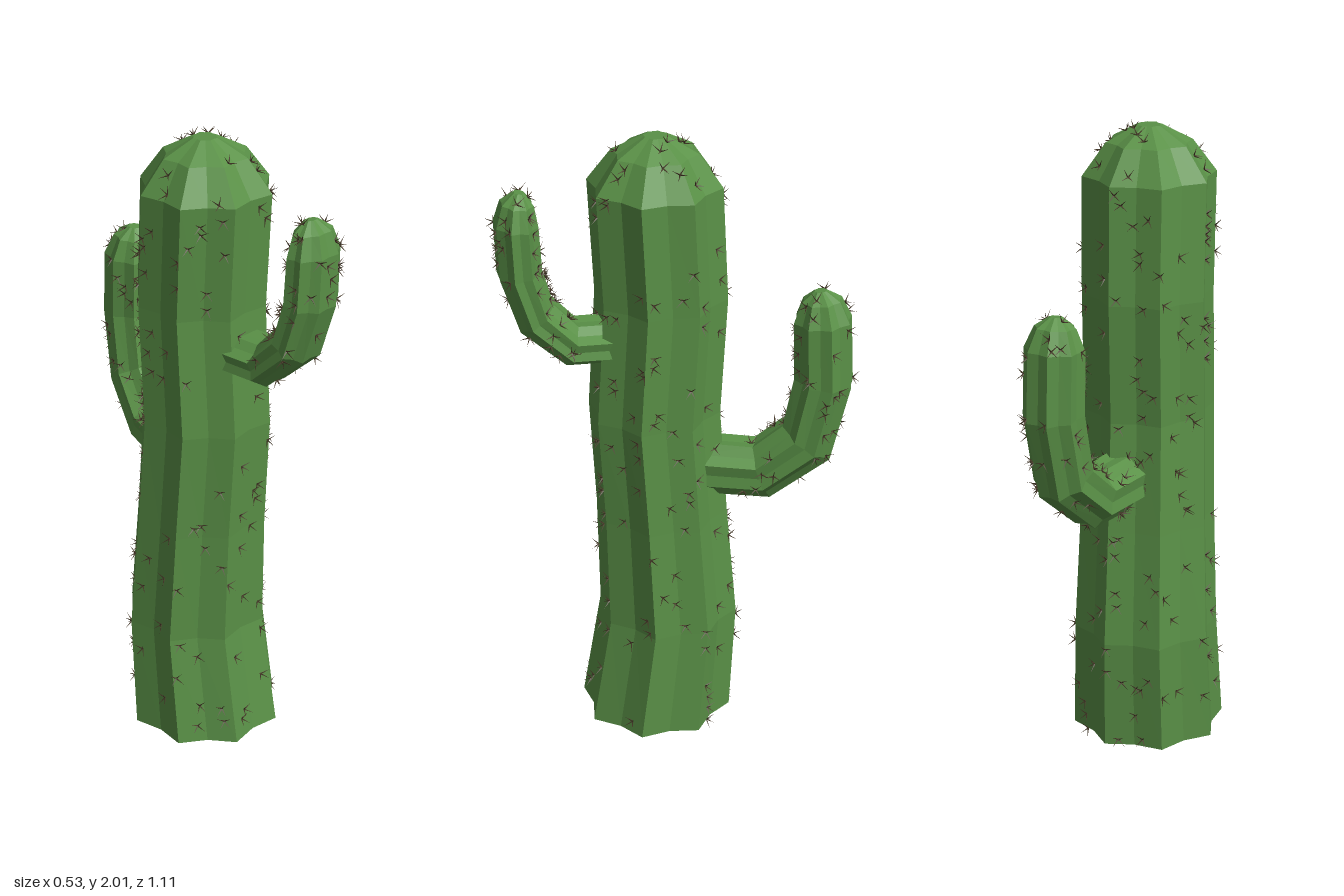
import * as THREE from 'three';
import { mergeGeometries } from 'three/addons/utils/BufferGeometryUtils.js';

const SIDES = 16; // eight ribs and eight grooves
const GROOVE = 0.86;
const COS = Math.cos(Math.PI / 8);

let seed = 7;
function random() {
  seed = (seed * 16807) % 2147483647;
  return seed / 2147483647;
}

// Each station: [reach, height, tilt in degrees, half depth, half width].
// The path runs in the vertical plane through `origin` along `heading`.
function makeRings(origin, heading, stations) {
  const up = new THREE.Vector3(0, 1, 0);
  const d = heading.clone().normalize();
  return stations.map(([reach, height, tilt, depth, width]) => {
    const a = THREE.MathUtils.degToRad(tilt);
    const c = origin.clone().addScaledVector(d, reach).addScaledVector(up, height);
    const t = d.clone().multiplyScalar(Math.cos(a)).addScaledVector(up, Math.sin(a));
    const n = d.clone().multiplyScalar(Math.sin(a)).addScaledVector(up, -Math.cos(a));
    const side = t.clone().cross(n);
    const ring = [];
    for (let j = 0; j < SIDES; j++) {
      const ang = (j / SIDES) * Math.PI * 2;
      const k = (j % 2 ? 1 : GROOVE) / COS;
      ring.push(c.clone()
        .addScaledVector(side, Math.cos(ang) * width * k)
        .addScaledVector(n, Math.sin(ang) * depth * k));
    }
    return { c, ring };
  });
}

// Skin the ribbed cross-sections and close both ends
function skin(rings) {
  const pos = [];
  const tri = (...pts) => pts.forEach((p) => pos.push(p.x, p.y, p.z));
  const last = rings[rings.length - 1];
  for (let j = 0; j < SIDES; j++) {
    const j2 = (j + 1) % SIDES;
    for (let i = 0; i < rings.length - 1; i++) {
      const a = rings[i].ring, b = rings[i + 1].ring;
      tri(a[j], b[j], b[j2]);
      tri(a[j], b[j2], a[j2]);
    }
    tri(rings[0].c, rings[0].ring[j], rings[0].ring[j2]);
    tri(last.c, last.ring[j2], last.ring[j]);
  }
  const g = new THREE.BufferGeometry();
  g.setAttribute('position', new THREE.Float32BufferAttribute(pos, 3));
  g.computeVertexNormals();
  return g;
}

// Clusters of four splayed spines scattered evenly over the skin
function scatterSpines(rings, count, first = 0) {
  const spine = new THREE.ConeGeometry(0.0028, 0.032, 3, 1, true).translate(0, 0.016, 0);
  const up = new THREE.Vector3(0, 1, 0);
  const lengths = [];
  let total = 0;
  for (let i = first; i < rings.length - 1; i++) {
    const l = rings[i].c.distanceTo(rings[i + 1].c);
    lengths.push(l);
    total += l;
  }
  const parts = [];
  for (let n = 0; n < count; n++) {
    let s = ((n + random()) / count) * total, i = 0;
    while (i < lengths.length - 1 && s > lengths[i]) s -= lengths[i++];
    const t = s / lengths[i];
    const j = Math.floor(random() * SIDES), j2 = (j + 1) % SIDES;
    const a = rings[first + i].ring, b = rings[first + i + 1].ring;
    const lo = a[j].clone().lerp(b[j], t), hi = a[j2].clone().lerp(b[j2], t);
    const p = lo.clone().lerp(hi, random());
    const along = b[j].clone().sub(a[j]);
    const normal = along.clone().cross(hi.clone().sub(lo)).normalize();
    const u = along.normalize(), v = normal.clone().cross(u);
    for (let k = 0; k < 4; k++) {
      const ang = Math.PI / 4 + (k * Math.PI) / 2 + (random() - 0.5) * 0.5;
      const dir = normal.clone().multiplyScalar(0.75)
        .addScaledVector(u, Math.cos(ang))
        .addScaledVector(v, Math.sin(ang)).normalize();
      const q = new THREE.Quaternion().setFromUnitVectors(up, dir);
      parts.push(spine.clone().applyQuaternion(q).translate(p.x, p.y, p.z));
    }
  }
  return mergeGeometries(parts);
}

export function createModel() {
  seed = 7;
  const model = new THREE.Group();
  model.name = 'cactus';
  const green = new THREE.MeshStandardMaterial({ color: 0x5a9147, flatShading: true });
  const brown = new THREE.MeshStandardMaterial({ color: 0x4a3d2b, flatShading: true, side: THREE.DoubleSide });

  function addLimb(name, origin, heading, stations, spines, first) {
    const rings = makeRings(origin, heading, stations);
    const limb = new THREE.Group();
    limb.name = name;
    const body = new THREE.Mesh(skin(rings), green);
    body.name = name + 'Body';
    const needles = new THREE.Mesh(scatterSpines(rings, spines, first), brown);
    needles.name = name + 'Spines';
    limb.add(body, needles);
    model.add(limb);
  }

  // Gently swaying trunk with a domed top
  addLimb('trunk', new THREE.Vector3(-0.02, 0, 0), new THREE.Vector3(0, 0, 1), [
    [0.05, 0.01, 90, 0.225, 0.225],
    [0.01, 0.37, 90, 0.205, 0.212],
    [0.03, 0.74, 90, 0.193, 0.198],
    [0.052, 1.09, 90, 0.191, 0.189],
    [0.03, 1.47, 90, 0.19, 0.188],
    [0.048, 1.83, 90, 0.19, 0.19],
    [0.046, 1.93, 90, 0.122, 0.122],
    [0.045, 1.98, 90, 0.035, 0.035],
  ], 190);

  // Upper arm reaching forward, flattened front to back
  addLimb('frontArm', new THREE.Vector3(-0.018, 0, 0), new THREE.Vector3(0, 0, 1), [
    [0.12, 1.34, 0, 0.063, 0.097],
    [0.31, 1.345, 17, 0.065, 0.097],
    [0.414, 1.445, 52, 0.065, 0.093],
    [0.458, 1.59, 80, 0.064, 0.09],
    [0.464, 1.74, 92, 0.062, 0.087],
    [0.459, 1.805, 95, 0.047, 0.064],
    [0.452, 1.838, 97, 0.015, 0.02],
  ], 55, 1);

  // Lower arm reaching backward and to the left
  addLimb('backArm', new THREE.Vector3(0, 0, -0.03), new THREE.Vector3(0.385, 0, -1), [
    [0.06, 0.9, 0, 0.088, 0.088],
    [0.255, 0.9, 18, 0.09, 0.088],
    [0.392, 1.015, 55, 0.09, 0.087],
    [0.436, 1.22, 84, 0.087, 0.086],
    [0.428, 1.42, 93, 0.084, 0.085],
    [0.423, 1.485, 95, 0.058, 0.058],
    [0.418, 1.515, 96, 0.018, 0.018],
  ], 65);

  return model;
}
